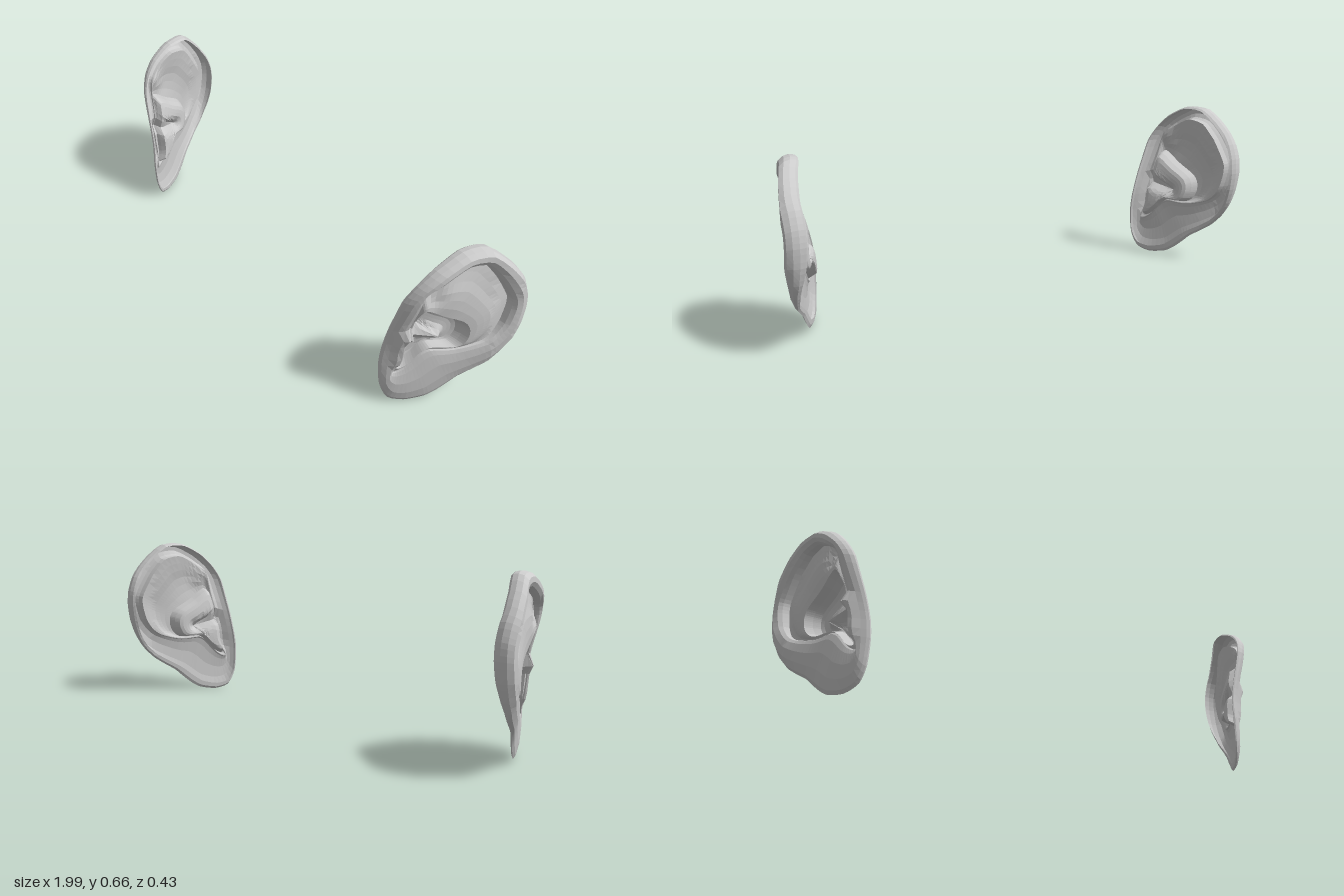
import * as THREE from 'three';

// Columns around the ear: outer edge (z, y), inner edge of the rim (z, y), rim curl strength
const columns = [
  [0.13, 0.002, 0.145, 0.165, 0], [0.18, 0.02, 0.165, 0.15, 0],
  [0.205, 0.08, 0.18, 0.15, 0], [0.213, 0.18, 0.165, 0.2, 0],
  [0.205, 0.28, 0.165, 0.29, 0], [0.2, 0.38, 0.15, 0.4, 0.1],
  [0.19, 0.49, 0.14, 0.5, 0.25], [0.16, 0.555, 0.125, 0.535, 0.4],
  [0.11, 0.61, 0.07, 0.575, 0.65], [0.025, 0.656, 0.01, 0.603, 0.85],
  [-0.06, 0.656, -0.055, 0.59, 1], [-0.137, 0.585, -0.1, 0.53, 1],
  [-0.185, 0.52, -0.13, 0.475, 1], [-0.207, 0.46, -0.15, 0.43, 1],
  [-0.212, 0.4, -0.15, 0.39, 1], [-0.203, 0.33, -0.135, 0.33, 0.9],
  [-0.182, 0.265, -0.11, 0.29, 0.6], [-0.15, 0.208, -0.08, 0.262, 0.3],
  [-0.11, 0.163, -0.04, 0.245, 0.1], [-0.07, 0.13, 0, 0.235, 0],
  [-0.026, 0.098, 0.03, 0.235, 0], [0, 0.07, 0.075, 0.24, 0],
  [0.035, 0.036, 0.1, 0.225, 0], [0.07, 0.013, 0.125, 0.19, 0],
];
// Edge of the hollow bowl (z, y), one point per column
const bowlEdge = [
  [0.14, 0.175], [0.158, 0.165], [0.17, 0.17], [0.158, 0.21], [0.156, 0.29], [0.144, 0.39],
  [0.138, 0.445], [0.125, 0.452], [0.1, 0.437], [0.07, 0.414], [0.045, 0.398], [0.02, 0.383],
  [0, 0.37], [-0.015, 0.355], [-0.025, 0.335], [-0.028, 0.315], [-0.026, 0.29], [-0.015, 0.262],
  [0, 0.247], [0.02, 0.244], [0.045, 0.246], [0.074, 0.246], [0.094, 0.23], [0.118, 0.198],
];
// Tilt of the ear away from the head: (z, x)
const tilt = [[0.22, 0.752], [0.13, 0.805], [0, 0.88], [-0.1, 0.942], [-0.16, 0.962], [-0.22, 0.962]];
// Raised folds and grooves, as (z, y) paths: crus, tragus, fossa
const folds = [
  { path: [[0.15, 0.33], [0.1, 0.312], [0.055, 0.294]], height: 0.034, width: 0.022 },
  { path: [[0.18, 0.31], [0.172, 0.25], [0.18, 0.21]], height: 0.024, width: 0.026 },
  { path: [[0.115, 0.52], [0.105, 0.49]], height: -0.014, width: 0.03 },
];
// Rim rings: position from outer (0) to inner (1) edge, depth where flat, depth where curled
const rim = [
  [0.15, -0.016, -0.036], [0.05, -0.015, -0.028], [0, -0.009, -0.008], [0.08, 0, 0.014],
  [0.3, 0.01, 0.031], [0.6, 0.014, 0.032], [0.86, 0.01, 0.022], [0.97, 0.005, 0.008], [1, 0, -0.016],
];
// Bowl rings: position from bowl edge (0) to centre (1), depth
const bowlRings = [[0.06, -0.012], [0.16, -0.034], [0.3, -0.038], [0.45, -0.038], [0.6, -0.038], [0.8, -0.038], [1, -0.038]];
const bowlCenter = { z: 0.05, y: 0.292 };
const SEGMENTS = 72, FLOOR_RINGS = 6;
const { lerp, smoothstep, clamp } = THREE.MathUtils;

// Sheet the ear is shaped on; the front edge leans outward towards the top
function baseX(z, y) {
  const i = Math.max(1, tilt.findIndex(([tz]) => z >= tz));
  const [z0, x0] = tilt[i - 1], [z1, x1] = tilt[i];
  const lean = 0.07 * smoothstep(y, 0.22, 0.58) * smoothstep(z, -0.1, 0.17);
  return lerp(x0, x1, (z - z0) / (z1 - z0)) + lean;
}

function segmentDistance(z, y, a, b) {
  const dz = b[0] - a[0], dy = b[1] - a[1];
  const t = clamp(((z - a[0]) * dz + (y - a[1]) * dy) / (dz * dz + dy * dy), 0, 1);
  return Math.hypot(z - a[0] - t * dz, y - a[1] - t * dy);
}

function relief(z, y) {
  let h = 0;
  for (const { path, height, width } of folds) {
    let d = Infinity;
    for (let i = 1; i < path.length; i++) d = Math.min(d, segmentDistance(z, y, path[i - 1], path[i]));
    h += height * Math.exp(-((d / width) ** 2));
  }
  return h;
}

function earGeometry() {
  const loop = (points) => new THREE.CatmullRomCurve3(points, true, 'catmullrom', 0.35);
  const outer = loop(columns.map((c) => new THREE.Vector3(c[4], c[1], c[0])));
  const inner = loop(columns.map((c) => new THREE.Vector3(c[4], c[3], c[2])));
  const bowl = loop(bowlEdge.map(([z, y]) => new THREE.Vector3(0, y, z)));

  const positions = [], index = [];
  for (let s = 0; s < SEGMENTS; s++) {
    const o = outer.getPoint(s / SEGMENTS), n = inner.getPoint(s / SEGMENTS), b = bowl.getPoint(s / SEGMENTS);
    const curl = clamp(n.x, 0, 1);
    const add = (from, to, t, depth, fold) => {
      const z = lerp(from.z, to.z, t), y = lerp(from.y, to.y, t);
      positions.push(baseX(z, y) + depth + fold * relief(z, y), y, z);
    };
    for (const [t, flat, curled] of rim) add(o, n, t, lerp(flat, curled, curl), smoothstep(t, 0.2, 0.8));
    // Floor rising from the groove to the ridge around the bowl
    const ridge = 0.016 * Math.min(1, Math.hypot(n.z - b.z, n.y - b.y) / 0.07);
    for (let i = 1; i <= FLOOR_RINGS; i++) {
      const k = i / FLOOR_RINGS;
      const groove = lerp(-0.016 * curl, 0, Math.min(1, k * 2));
      add(n, b, k, groove + ridge * smoothstep(k, 0.2, 0.9), 1);
    }
    for (const [t, depth] of bowlRings) add(b, bowlCenter, t, depth, 1);
  }
  // Each column holds one point of every ring
  const rings = rim.length + FLOOR_RINGS + bowlRings.length;
  for (let s = 0; s < SEGMENTS; s++) {
    for (let r = 1; r < rings; r++) {
      const c = s * rings + r, d = ((s + 1) % SEGMENTS) * rings + r;
      index.push(c - 1, c, d - 1, d - 1, c, d);
    }
  }
  const geometry = new THREE.BufferGeometry();
  geometry.setAttribute('position', new THREE.Float32BufferAttribute(positions, 3));
  geometry.setIndex(index);
  geometry.computeVertexNormals();
  return geometry;
}

export function createModel() {
  const group = new THREE.Group();
  const material = new THREE.MeshStandardMaterial({ color: 0xcccccc, flatShading: true, side: THREE.DoubleSide });
  const geometry = earGeometry();
  for (const [name, side] of [['leftEar', 1], ['rightEar', -1]]) {
    const ear = new THREE.Mesh(geometry, material);
    ear.name = name;
    ear.scale.x = side;
    group.add(ear);
  }
  return group;
}
